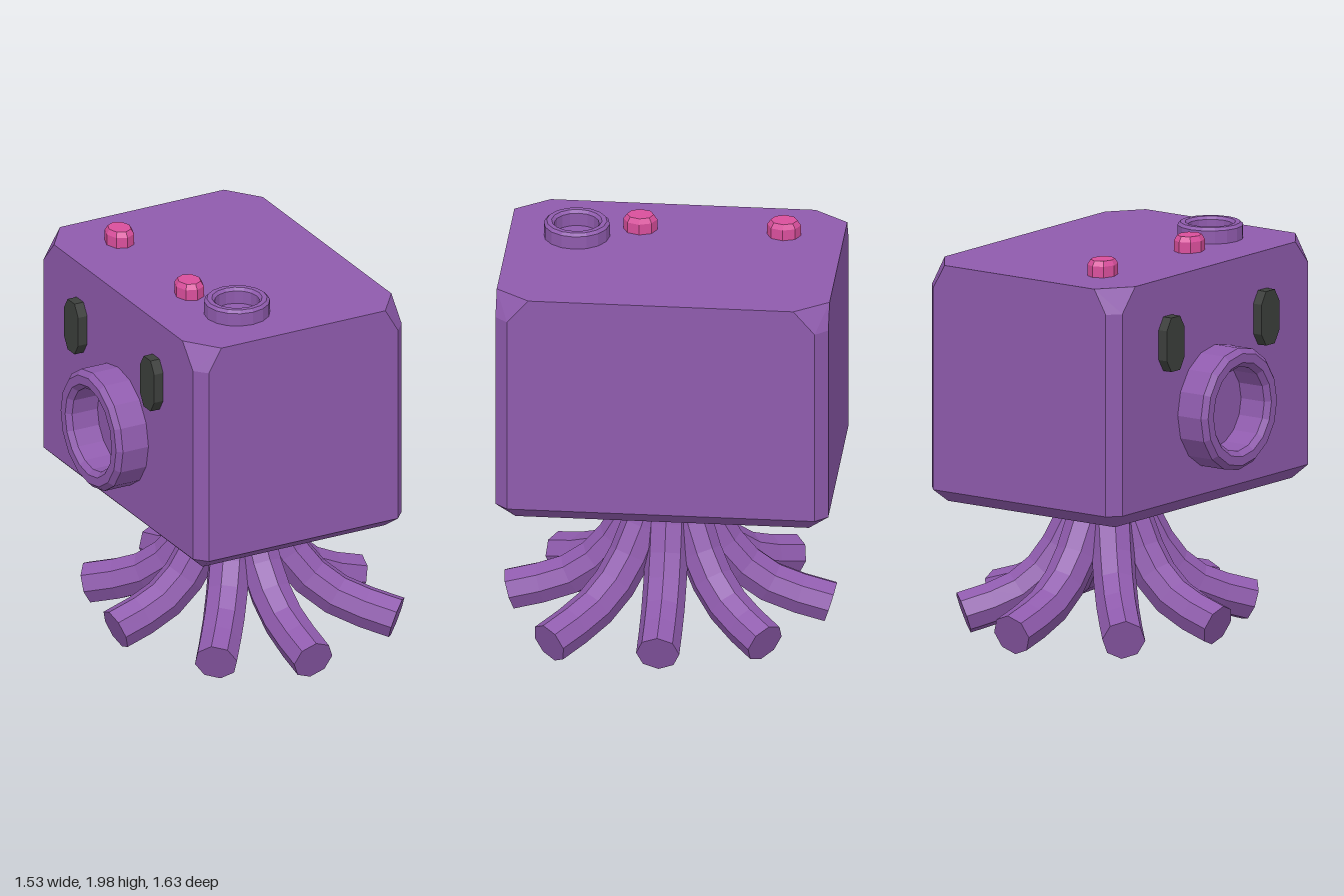
import * as THREE from 'three';
import { ConvexGeometry } from 'three/addons/geometries/ConvexGeometry.js';

const mat = (color) => new THREE.MeshStandardMaterial({ color, flatShading: true, side: THREE.DoubleSide });

export function createModel() {
  const root = new THREE.Group();
  const purple = mat(0x8f5bad), pink = mat(0xd94f9c), dark = mat(0x3c3f3c);

  const add = (name, geometry, material, x = 0, y = 0, z = 0, parent = root) => {
    const mesh = new THREE.Mesh(geometry, material);
    mesh.name = name;
    mesh.position.set(x, y, z);
    parent.add(mesh);
    return mesh;
  };

  // Boxy body with bevelled edges and larger cuts at the top corners
  const corners = [];
  for (const sx of [-1, 1]) for (const sz of [-1, 1]) {
    const p = (x, y, z) => corners.push(new THREE.Vector3(sx * x - 0.0125, y, sz * z));
    p(0.4575, 1.92, 0.817);
    p(0.5825, 1.92, 0.65);
    for (const y of [1.8, 0.79]) {
      p(0.5825, y, 0.755);
      p(0.5275, y, 0.817);
    }
    p(0.51, 0.72, 0.72);
  }
  add('body', new ConvexGeometry(corners), purple);

  // Hollow ring with bevelled rims, standing along y
  const ring = (outer, inner, height, bevel, sides) => new THREE.LatheGeometry([
    [outer, -0.02], [outer, height - bevel], [outer - bevel, height],
    [inner + bevel, height], [inner, height - bevel], [inner, -0.02],
  ].map(([r, y]) => new THREE.Vector2(r, y)), sides);

  // Round snout on the right side and small siphon on top
  add('snout', ring(0.305, 0.21, 0.167, 0.025, 16), purple, -0.595, 1.215, 0).rotation.z = Math.PI / 2;
  add('siphon', ring(0.162, 0.11, 0.08, 0.014, 16), purple, -0.2, 1.92, 0.485);

  // Eyes: upright slabs with cut corners
  const eyeShape = new THREE.Shape([
    [-0.072, -0.075], [-0.035, -0.135], [0.035, -0.135], [0.072, -0.075],
    [0.072, 0.075], [0.035, 0.135], [-0.035, 0.135], [-0.072, 0.075],
  ].map(([x, y]) => new THREE.Vector2(x, y)));
  const eyeGeometry = new THREE.ExtrudeGeometry(eyeShape, { depth: 0.07, bevelEnabled: false });
  for (const z of [-0.387, 0.382]) {
    add('eye', eyeGeometry, dark, -0.575, 1.595, z).rotation.y = -Math.PI / 2;
  }

  // Pink buds on top
  const budGeometry = new THREE.LatheGeometry([
    [0.083, -0.02], [0.083, 0.055], [0.066, 0.08], [0, 0.08],
  ].map(([r, y]) => new THREE.Vector2(r, y)), 8);
  for (const z of [-0.523, 0.182]) {
    add('bud', budGeometry, pink, -0.3, 1.92, z).scale.x = 0.85;
  }

  // Tentacles: one shared sweep, stretched to each tip
  const centreX = 0.06, radius = 0.106;
  const sweep = [[0.08, 0.85], [0.14, 0.72], [0.25, 0.53], [0.41, 0.34], [0.64, 0.205], [1, 0.117]];
  const tips = [
    [0.73, 0], [0.66, 0.54], [0.06, 0.785], [-0.37, 0.58],
    [-0.61, 0], [-0.45, -0.55], [0.06, -0.785], [0.56, -0.51],
  ];
  for (const [tx, tz] of tips) {
    const tentacle = new THREE.Group();
    tentacle.name = 'tentacle';
    root.add(tentacle);
    const path = new THREE.CatmullRomCurve3(
      sweep.map(([f, y]) => new THREE.Vector3(centreX + (tx - centreX) * f, y, tz * f)));
    const tube = new THREE.TubeGeometry(path, 7, radius, 8);
    add('tentacleArm', tube, purple, 0, 0, 0, tentacle);
    // Flat end cap lined up with the last ring of the tube
    const end = path.getPoint(1);
    const cap = add('tentacleTip', new THREE.CircleGeometry(radius, 8), purple, end.x, end.y, end.z, tentacle);
    cap.quaternion.setFromRotationMatrix(
      new THREE.Matrix4().makeBasis(tube.normals[7], tube.binormals[7], tube.tangents[7]));
  }
  return root;
}
